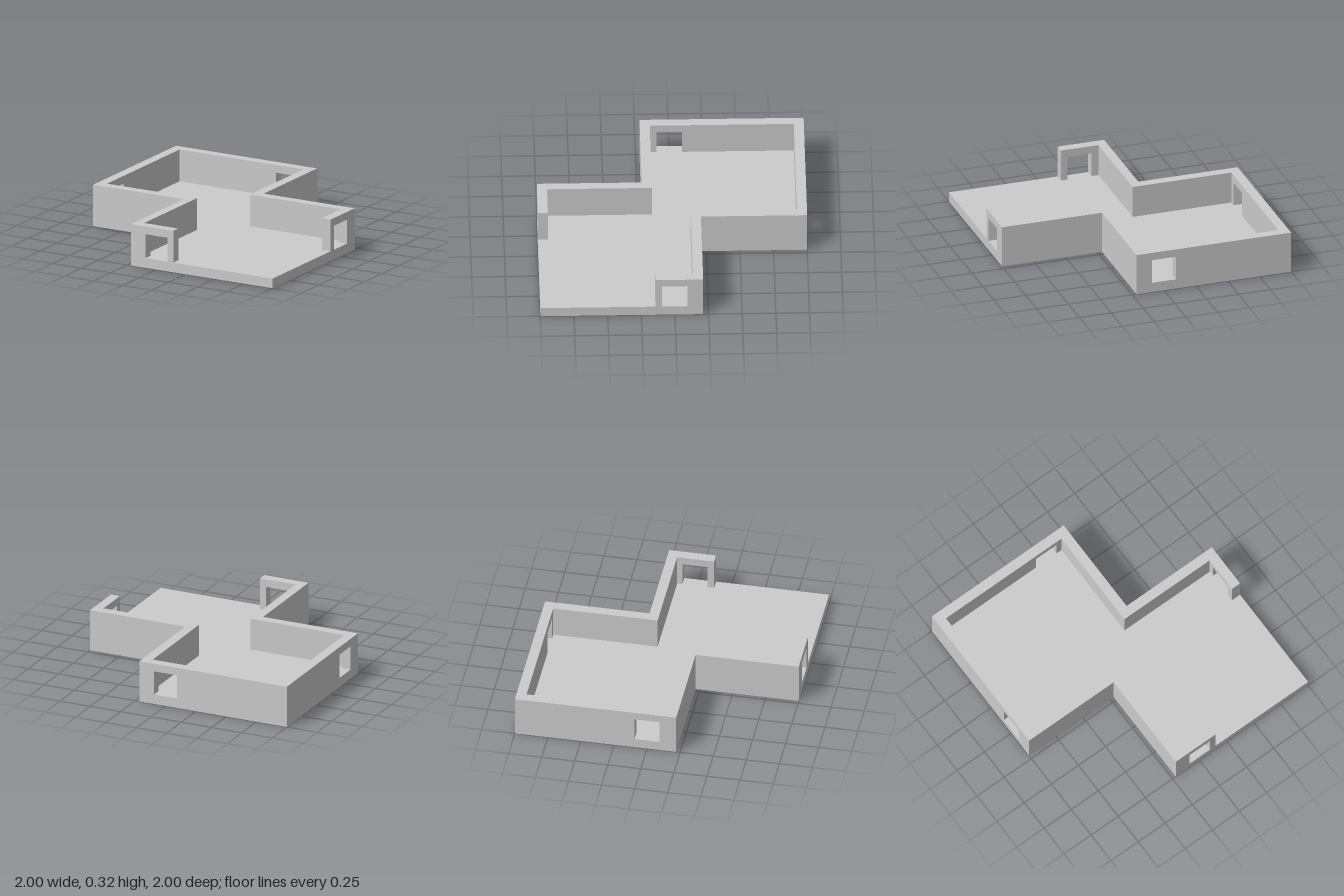
import * as THREE from 'three';

const FLOOR = 0.075, TOP = 0.32, LINTEL = 0.26, HALF_WINDOW = 0.095;

export function createModel() {
  const group = new THREE.Group();
  const material = new THREE.MeshStandardMaterial({ color: 0xcccccc, flatShading: true });

  const add = (name, geometry) => {
    const mesh = new THREE.Mesh(geometry, material);
    mesh.name = name;
    group.add(mesh);
  };
  const shapeOf = (points) => new THREE.Shape(points.map(([x, y]) => new THREE.Vector2(x, y)));

  // Upright wall panel over a rectangle of the plan, with an optional window resting on the floor
  const wall = (name, x0, x1, z0, z1, hasWindow = false) => {
    const alongX = x1 - x0 > z1 - z0;
    const [a, b] = alongX ? [x0, x1] : [z0, z1];
    const w = HALF_WINDOW;
    const outline = hasWindow
      ? [[a, FLOOR], [-w, FLOOR], [-w, LINTEL], [w, LINTEL], [w, FLOOR], [b, FLOOR], [b, TOP], [a, TOP]]
      : [[a, FLOOR], [b, FLOOR], [b, TOP], [a, TOP]];
    const geometry = new THREE.ExtrudeGeometry(shapeOf(outline), {
      depth: alongX ? z1 - z0 : x1 - x0, bevelEnabled: false,
    });
    if (alongX) geometry.translate(0, 0, z0);
    else geometry.rotateY(-Math.PI / 2).translate(x1, 0, 0);
    add(name, geometry);
  };

  // Floor slab: two overlapping squares joined at the middle
  const plan = [[-1, -1], [0.215, -1], [0.215, -0.21], [1, -0.21], [1, 1], [-0.22, 1], [-0.22, 0.22], [-1, 0.22]];
  const floor = new THREE.ExtrudeGeometry(shapeOf(plan), { depth: FLOOR, bevelEnabled: false });
  add('floor', floor.rotateX(Math.PI / 2).translate(0, FLOOR, 0));

  // Rear room
  wall('rearRoomBackWall', -1, 0.215, -1, -0.925, true);
  wall('rearRoomRightWall', -1, -0.925, -0.925, 0.22, true);
  wall('rearRoomFrontWall', -0.925, -0.15, 0.145, 0.22);
  wall('rearRoomLeftWall', 0.14, 0.215, -0.925, -0.21);

  // Front room, open at its front left corner
  wall('frontRoomBackWall', 0.14, 0.925, -0.21, -0.135);
  wall('frontRoomLeftWall', 0.925, 1, -0.21, 0.145, true);
  wall('frontRoomRightWall', -0.22, -0.15, 0.22, 0.925);
  wall('frontRoomFrontWall', -0.22, 0.145, 0.925, 1, true);

  return group;
}
